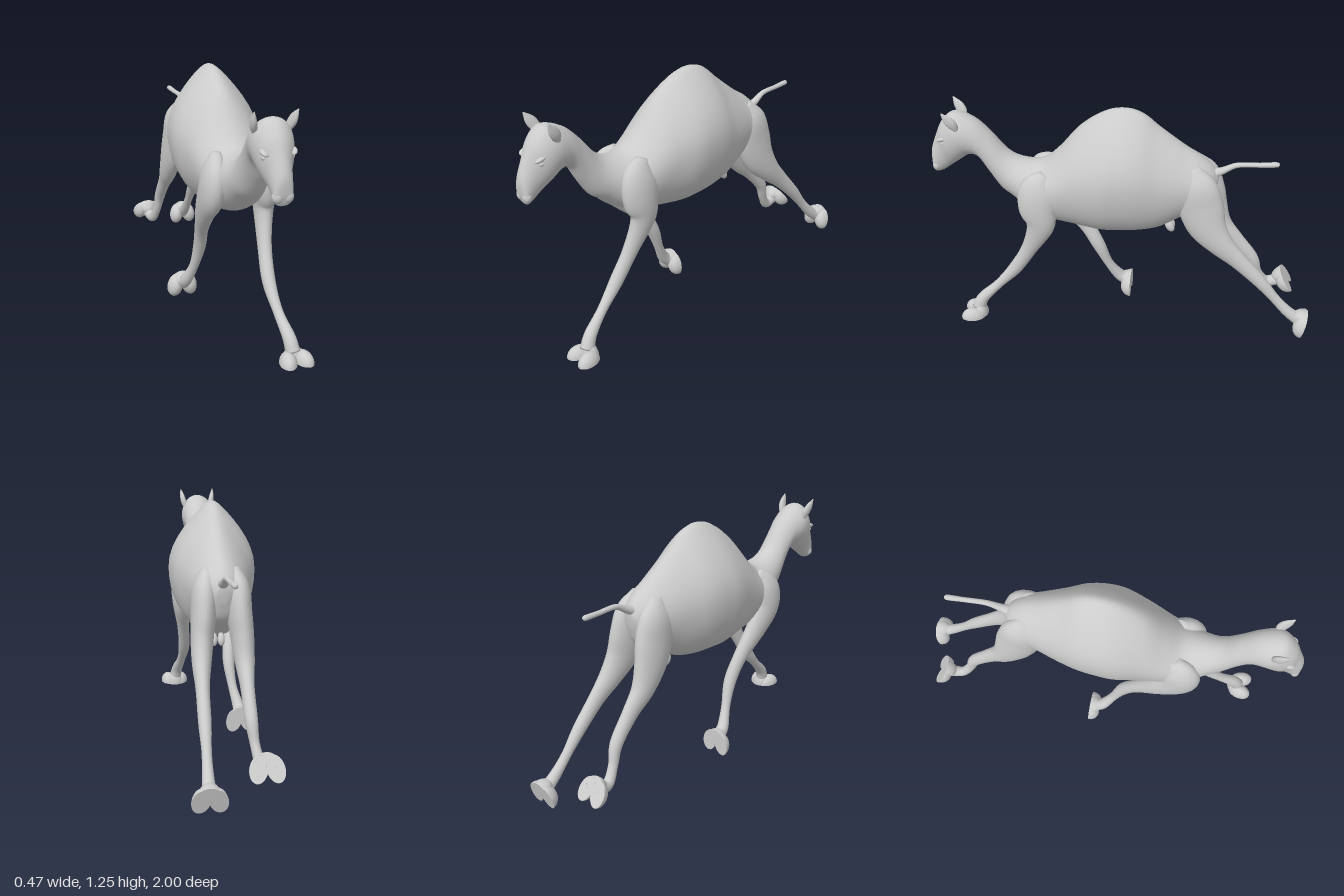
import * as THREE from 'three';

const material = new THREE.MeshStandardMaterial({ color: 0xcccccc, side: THREE.DoubleSide });
const V = (x, y, z) => new THREE.Vector3(x, y, z);
const curve = (pts) => new THREE.CatmullRomCurve3(pts, false, 'catmullrom', 0.5);

// Closed skin over a list of rings with equal point counts
function skin(rings) {
  const n = rings[0].length, pos = [], idx = [];
  rings.forEach((r) => r.forEach((p) => pos.push(p.x, p.y, p.z)));
  for (let i = 0; i < rings.length - 1; i++)
    for (let j = 0; j < n; j++) {
      const a = i * n + j, b = i * n + (j + 1) % n;
      idx.push(a, b, a + n, b, b + n, a + n);
    }
  [0, rings.length - 1].forEach((k) => {
    const c = rings[k].reduce((s, p) => s.add(p), V(0, 0, 0)).divideScalar(n);
    const id = pos.length / 3;
    pos.push(c.x, c.y, c.z);
    for (let j = 0; j < n; j++) {
      const a = k * n + j, b = k * n + (j + 1) % n;
      if (k) idx.push(a, b, id); else idx.push(b, a, id);
    }
  });
  const g = new THREE.BufferGeometry();
  g.setAttribute('position', new THREE.Float32BufferAttribute(pos, 3));
  g.setIndex(idx);
  g.computeVertexNormals();
  return g;
}

// Smooth limb along [x, y, z] points with [side, depth] radii
function limb(points, sizes, steps = 6, sides = 20) {
  const path = curve(points.map((p) => V(...p)));
  const radii = curve(sizes.map((r) => V(r[0], r[1], 0)));
  const n = (points.length - 1) * steps, rings = [];
  for (let i = 0; i <= n; i++) {
    const c = path.getPoint(i / n), r = radii.getPoint(i / n), t = path.getTangent(i / n);
    const side = V(1, 0, 0).addScaledVector(t, -t.x).normalize();
    const up = t.clone().cross(side);
    rings.push(Array.from({ length: sides }, (_, j) => {
      const a = (j / sides) * Math.PI * 2;
      return c.clone().addScaledVector(side, Math.cos(a) * r.x).addScaledVector(up, Math.sin(a) * r.y);
    }));
  }
  return skin(rings);
}

// Body from [top z, top y, bottom z, bottom y, half width]; rings narrow upward near the hump
function bodySkin(st, steps = 7, sides = 40) {
  const top = curve(st.map((s) => V(0, s[1], s[0])));
  const low = curve(st.map((s) => V(s[4], s[3], s[2])));
  const n = (st.length - 1) * steps, rings = [];
  for (let i = 0; i <= n; i++) {
    const a = top.getPoint(i / n), b = low.getPoint(i / n), w = b.x;
    b.x = 0;
    const c = a.clone().add(b).multiplyScalar(0.5), up = a.clone().sub(b).multiplyScalar(0.5);
    const pinch = 0.56 * Math.exp(-((c.z - 0.02) ** 2) / 0.15);
    rings.push(Array.from({ length: sides }, (_, j) => {
      const q = (j / sides) * Math.PI * 2, s = Math.sin(q);
      const x = Math.cos(q) * w * (1 - pinch * Math.max(s, 0) ** 2);
      return c.clone().addScaledVector(up, s).add(V(x, 0, 0));
    }));
  }
  return skin(rings);
}

function part(parent, name, geometry) {
  const m = new THREE.Mesh(geometry, material);
  m.name = name;
  parent.add(m);
  return m;
}

function blob(parent, name, p, r) {
  const m = part(parent, name, new THREE.SphereGeometry(1, 20, 14));
  m.position.set(...p);
  m.scale.set(...r);
  return m;
}

// Flat-soled dome
function pad(rx, ry, rz) {
  const g = new THREE.SphereGeometry(1, 24, 16), a = g.attributes.position;
  for (let i = 0; i < a.count; i++)
    a.setXYZ(i, a.getX(i) * rx, Math.max(a.getY(i), 0) * ry, a.getZ(i) * rz);
  g.computeVertexNormals();
  return g;
}

// Two-toed padded foot, pitched about x
function foot(parent, name, p, pitch) {
  const g = new THREE.Group();
  g.name = name;
  for (const s of [-1, 1]) {
    const toe = part(g, 'toe', pad(0.042, 0.055, 0.064));
    toe.position.set(s * 0.038, 0, 0.01);
    toe.rotation.y = s * 0.22;
  }
  part(g, 'heel', pad(0.05, 0.07, 0.04)).position.z = -0.025;
  g.position.set(...p);
  g.rotation.x = pitch;
  parent.add(g);
}

export function createModel() {
  const model = new THREE.Group();
  model.name = 'gallopingCamel';

  // Rump, hump, chest, neck and head in one skin
  part(model, 'body', bodySkin([
    [-0.475, 0.92, -0.465, 0.84, 0.025],
    [-0.44, 0.97, -0.435, 0.76, 0.08],
    [-0.38, 1.02, -0.38, 0.71, 0.12],
    [-0.3, 1.07, -0.3, 0.675, 0.142],
    [-0.18, 1.16, -0.19, 0.605, 0.175],
    [-0.09, 1.232, -0.08, 0.577, 0.205],
    [0, 1.255, 0.02, 0.567, 0.218],
    [0.1, 1.23, 0.12, 0.565, 0.218],
    [0.22, 1.145, 0.26, 0.585, 0.188],
    [0.33, 1.015, 0.39, 0.61, 0.165],
    [0.42, 0.937, 0.48, 0.65, 0.145],
    [0.52, 0.935, 0.57, 0.72, 0.107],
    [0.6, 0.975, 0.635, 0.765, 0.085],
    [0.68, 1.07, 0.695, 0.855, 0.075],
    [0.76, 1.143, 0.74, 0.935, 0.081],
    [0.86, 1.177, 0.79, 0.95, 0.094],
    [0.925, 1.125, 0.85, 0.91, 0.083],
    [0.965, 1.045, 0.9, 0.873, 0.056],
    [0.997, 0.96, 0.945, 0.84, 0.045],
    [0.997, 0.89, 0.975, 0.832, 0.04],
    [0.99, 0.858, 0.986, 0.845, 0.008],
  ]));

  // Thickness shared by each pair of legs
  const foreSizes = [[0.03, 0.04], [0.056, 0.095], [0.058, 0.1], [0.046, 0.073], [0.034, 0.043],
    [0.032, 0.036], [0.024, 0.025], [0.031, 0.032], [0.035, 0.038]];
  const hindSizes = [[0.03, 0.04], [0.058, 0.1], [0.06, 0.115], [0.055, 0.1], [0.046, 0.068],
    [0.033, 0.047], [0.03, 0.035], [0.023, 0.026], [0.027, 0.029], [0.034, 0.034]];

  // Mirrored features
  const upper = {};
  for (const [side, s] of [['left', 1], ['right', -1]]) {
    part(model, side + 'Ear', limb(
      [[s * 0.07, 1.11, 0.83], [s * 0.083, 1.145, 0.845], [s * 0.09, 1.175, 0.865], [s * 0.096, 1.21, 0.888]],
      [[0.015, 0.015], [0.016, 0.026], [0.012, 0.023], [0.002, 0.003]]));
    blob(model, side + 'Eye', [s * 0.062, 1.025, 0.91], [0.013, 0.013, 0.018]);
    blob(model, side + 'Brow', [s * 0.062, 1.046, 0.915], [0.02, 0.012, 0.03]).rotation.set(0.3, 0, s * 0.4);
    blob(model, side + 'Lip', [s * 0.022, 0.873, 0.975], [0.026, 0.03, 0.022]);
    blob(model, side + 'Teat', [s * 0.018, 0.6, -0.24], [0.018, 0.035, 0.022]).rotation.x = 0.5;
    upper[side] = {
      shoulder: [[s * 0.09, 0.9, 0.38], [s * 0.115, 0.83, 0.42], [s * 0.13, 0.73, 0.43]],
      hip: [[s * 0.06, 0.98, -0.34], [s * 0.078, 0.89, -0.37], [s * 0.085, 0.78, -0.395], [s * 0.095, 0.67, -0.433]],
    };
  }

  // Left foreleg reaching forward
  part(model, 'leftForeleg', limb([...upper.left.shoulder,
    [0.135, 0.62, 0.42], [0.118, 0.46, 0.49], [0.108, 0.31, 0.58],
    [0.118, 0.195, 0.68], [0.138, 0.105, 0.77], [0.148, 0.04, 0.8]], foreSizes));
  foot(model, 'leftForefoot', [0.153, 0, 0.815], 0);

  // Right foreleg swept back
  part(model, 'rightForeleg', limb([...upper.right.shoulder,
    [-0.135, 0.62, 0.35], [-0.118, 0.475, 0.23], [-0.108, 0.35, 0.16],
    [-0.123, 0.22, 0.108], [-0.148, 0.125, 0.055], [-0.153, 0.09, 0.01]], foreSizes));
  foot(model, 'rightForefoot', [-0.155, 0.075, -0.018], Math.PI / 2);

  // Left hind leg stretched back
  part(model, 'leftHindleg', limb([...upper.left.hip,
    [0.105, 0.57, -0.51], [0.11, 0.48, -0.605], [0.112, 0.36, -0.725],
    [0.113, 0.26, -0.81], [0.115, 0.18, -0.885], [0.115, 0.125, -0.955]], hindSizes));
  foot(model, 'leftHindfoot', [0.115, 0.118, -0.98], 1.31);

  // Right hind leg folding below the hock
  part(model, 'rightHindleg', limb([...upper.right.hip,
    [-0.1, 0.56, -0.495], [-0.1, 0.47, -0.58], [-0.104, 0.35, -0.682],
    [-0.115, 0.25, -0.72], [-0.132, 0.178, -0.775], [-0.145, 0.195, -0.86]], hindSizes));
  foot(model, 'rightHindfoot', [-0.145, 0.21, -0.88], 2.15);

  // Tail streaming behind
  part(model, 'tail', limb(
    [[0, 0.92, -0.43], [0, 0.945, -0.49], [-0.003, 0.98, -0.56], [-0.01, 0.985, -0.67], [-0.016, 0.99, -0.75], [-0.017, 0.99, -0.765]],
    [[0.03, 0.03], [0.02, 0.018], [0.014, 0.013], [0.013, 0.012], [0.014, 0.013], [0.004, 0.004]]));

  return model;
}
